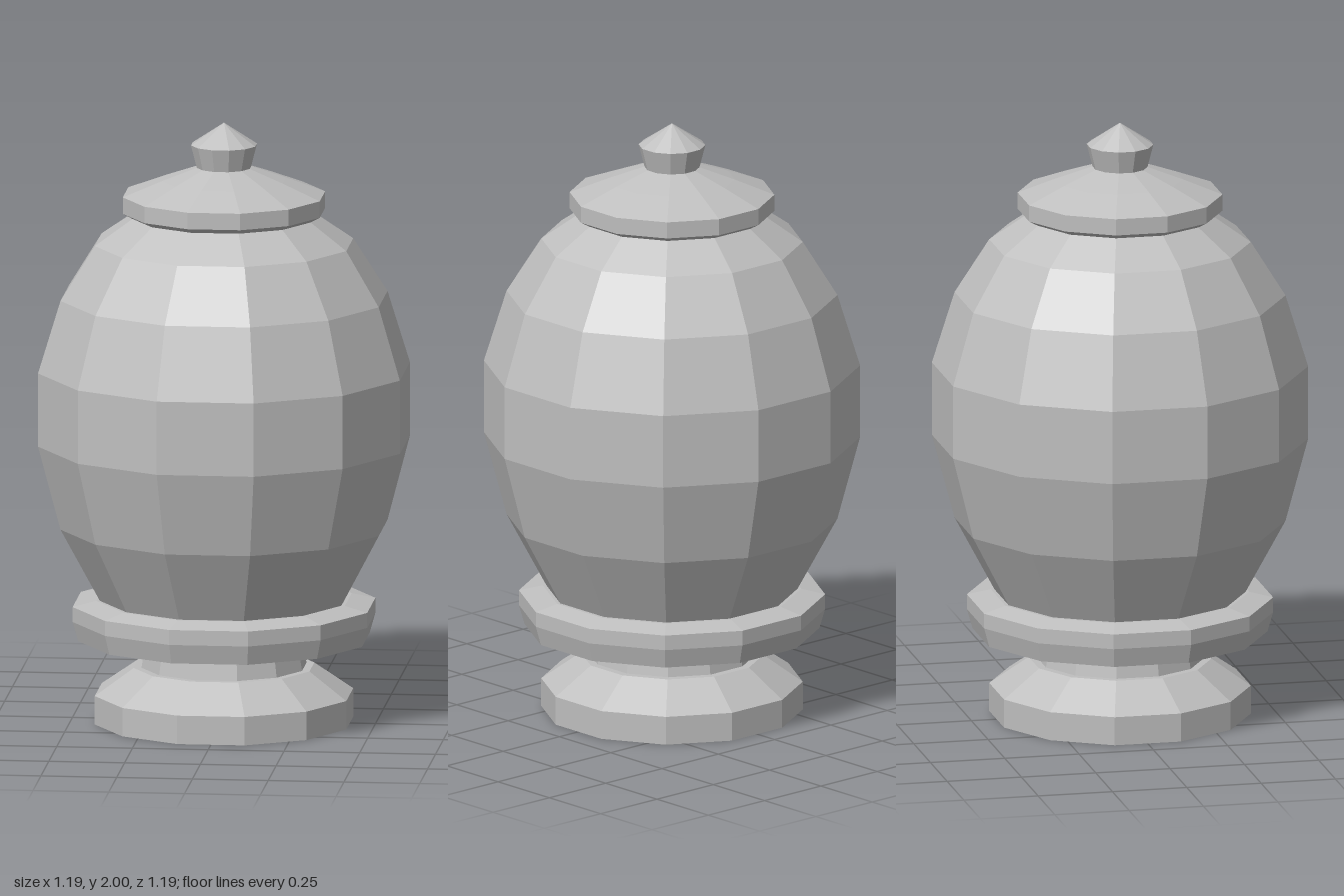
import * as THREE from 'three';

const SIDES = 12;
const APOTHEM = Math.cos(Math.PI / SIDES); // profiles give the distance to the flat sides

const stone = new THREE.MeshStandardMaterial({ color: 0xbfbfbf });
stone.name = 'grey stone';

// Twelve-sided faceted turning from [half width, height] points, bottom to top
function turned(name, profile) {
  const points = profile.map(([w, y]) => new THREE.Vector2(w / APOTHEM, y));
  const geometry = new THREE.LatheGeometry(points, SIDES, Math.PI / SIDES).toNonIndexed();
  geometry.computeVertexNormals();
  const mesh = new THREE.Mesh(geometry, stone);
  mesh.name = name;
  return mesh;
}

export function createModel() {
  const urn = new THREE.Group();
  urn.name = 'urn';
  urn.add(
    // Foot with bevelled top
    turned('foot', [[0, 0], [0.415, 0], [0.415, 0.095], [0.29, 0.185], [0, 0.185]]),
    // Short neck under the collar
    turned('neck', [[0.265, 0.185], [0.255, 0.245]]),
    // Projecting collar
    turned('collar', [[0, 0.245], [0.25, 0.245], [0.468, 0.28], [0.486, 0.345],
      [0.486, 0.395], [0.41, 0.413], [0, 0.413]]),
    // Rounded body
    turned('body', [[0.397, 0.41], [0.525, 0.655], [0.597, 0.935], [0.597, 1.18],
      [0.525, 1.42], [0.415, 1.6], [0.29, 1.69]]),
    // Lid with overhanging rim
    turned('lid', [[0, 1.685], [0.29, 1.685], [0.325, 1.705], [0.325, 1.76],
      [0.2, 1.81], [0.085, 1.852], [0, 1.852]]),
    // Pointed knob
    turned('knob', [[0.087, 1.85], [0.106, 1.927], [0, 2]]),
  );
  return urn;
}
